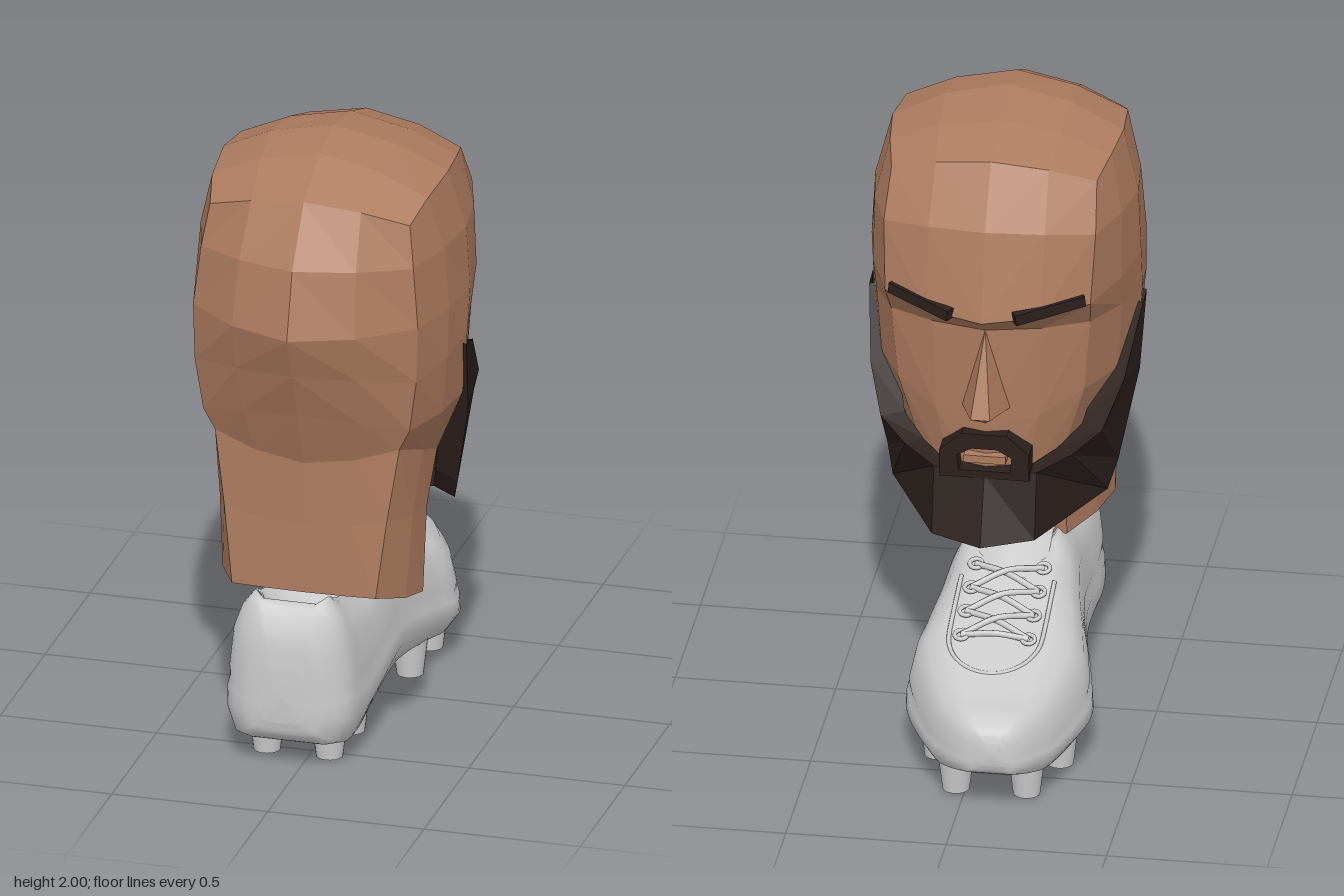
import * as THREE from 'three';

const mat = (color, flatShading) => new THREE.MeshStandardMaterial({ color, flatShading, side: THREE.DoubleSide });
const skin = mat(0xad7b5f, true);
const hair = mat(0x2b201d, true);
const grey = mat(0xcccccc, false);

// Grid surface through rows of [x, y, z] points, with mirrored diagonals
function sheet(rows) {
  const n = rows[0].length, index = [];
  for (let i = 0; i < rows.length - 1; i++) {
    for (let j = 0; j < n - 1; j++) {
      const a = i * n + j, b = a + n;
      if (j < (n - 1) / 2) index.push(a, b, a + 1, b, b + 1, a + 1);
      else index.push(a, b, b + 1, a, b + 1, a + 1);
    }
  }
  const g = new THREE.BufferGeometry();
  g.setAttribute('position', new THREE.Float32BufferAttribute(rows.flat(2), 3));
  g.setIndex(index);
  g.computeVertexNormals();
  return g;
}

function add(parent, name, geometry, material, x = 0, y = 0, z = 0) {
  const m = new THREE.Mesh(geometry, material);
  m.name = name;
  m.position.set(x, y, z);
  parent.add(m);
  return m;
}

const flip = ([x, y, z]) => [-x, y, z];
const mix = (a, b, t) => a.map((v, k) => v + (b[k] - v) * t);
const tube = (pts, r) => new THREE.TubeGeometry(
  new THREE.CatmullRomCurve3(pts.map((p) => new THREE.Vector3(...p))), 48, r, 8);

// Stations from the front of the neck up the face, over the crown and down the nape:
// centre y, z, then edge x, y, z
const stations = [
  [.54, .12, .2, .53, .13], [.76, .1, .2, .76, .1], [.8, -.2, .19, .82, -.09],
  [1.05, -.22, .29, 1.15, -.1], [1.39, -.22, .31, 1.39, -.11], [1.45, -.3, .32, 1.48, -.17],
  [1.73, -.23, .33, 1.7, -.13], [1.91, -.1, .32, 1.84, -.04], [1.97, .07, .345, 1.87, .09],
  [2, .26, .36, 1.88, .24], [1.97, .42, .345, 1.86, .42], [1.88, .6, .32, 1.81, .53],
  [1.7, .73, .34, 1.68, .56], [1.49, .79, .36, 1.49, .58], [1.35, .735, .355, 1.31, .58],
  [1.2, .675, .33, 1.14, .57], [1.01, .605, .295, 1.07, .56], [.8, .605, .26, .83, .58],
  [.58, .61, .23, .58, .6],
];

function buildHead() {
  const head = new THREE.Group();
  head.name = 'head';
  const edges = stations.map((s) => s.slice(2));
  const rows = stations.map(([cy, cz], i) => {
    const c = [0, cy, cz], e = edges[i];
    const m = mix(c, e, .36);
    m[0] = e[0] * .55;
    return [flip(e), flip(m), c, m, e];
  });
  add(head, 'faceCrownAndNape', sheet(rows), skin);

  // Temples, cheeks and sides of the neck bulge between the strip's two edges
  const bulge = [.1, .09, .08, .095, .087, .08, .075];
  const rim = [];
  for (const s of [1, -1]) {
    const side = bulge.map((b, i) => [0, 1, 2, 3, 4].map((j) => {
      const p = mix(edges[i], edges[18 - i], j / 4), k = Math.sin(Math.PI * j / 4);
      if (i === 0) p[1] += k * (s > 0 ? -.035 : .02);
      return [s * (p[0] + b * k), p[1], p[2]];
    }));
    side.push(edges.slice(7, 12).map(([x, y, z]) => [s * x, y, z]));
    add(head, s > 0 ? 'leftSide' : 'rightSide', sheet(side), skin);
    rim.push(...(s > 0 ? side[0] : [...side[0]].reverse()));
  }
  rim.push(rim[0]);
  add(head, 'neckBase', sheet([rim, rim.map(() => [0, .56, .35])]), skin);

  // Wedge nose
  const wing = [.075, 1.12, -.2], tip = [.03, 1.13, -.325];
  add(head, 'nose', sheet([
    Array(4).fill([0, 1.39, -.22]),
    [wing, tip, flip(tip), flip(wing)],
    Array(4).fill([0, 1.07, -.22]),
  ]), skin);
  add(head, 'lips', new THREE.BoxGeometry(.13, .025, .04), skin, 0, .95, -.215);

  // Eyebrows set into the brow ridge
  for (const s of [1, -1]) {
    const brow = add(head, 'eyebrow', new THREE.BoxGeometry(.23, .035, .03), hair, s * .2, 1.482, -.229);
    brow.rotation.set(0, -s * .5, s * .13, 'YXZ');
  }
  return head;
}

function buildBeard() {
  const beard = new THREE.Group();
  beard.name = 'beard';
  // Half bands from sideburn to chin: inner face, upper edge, jaw edge, underside
  const upper = [[.427, 1.31, .2], [.395, 1.13, .02], [.345, 1.01, -.1], [.26, .95, -.16],
    [.16, .91, -.22], [0, .9, -.24]];
  const jaw = [[.427, 1.32, .27], [.415, 1.08, .21], [.36, .8, .135], [.335, .72, .08],
    [.16, .7, -.265], [0, .69, -.325]];
  const inner = upper.map(([x, y, z]) => [x * .8, y, z + .04]);
  const under = jaw.map(([x, y, z], i) => [x * .8, y + .03, i < 4 ? z : .08]);
  add(beard, 'beardBand', sheet([inner, upper, jaw, under]
    .map((h) => [...h, ...h.slice(0, -1).map(flip).reverse()])), hair);

  // Moustache framing the mouth
  const outline = (half) => [...half, ...half.map(([x, y]) => [-x, y]).reverse()]
    .map(([x, y]) => new THREE.Vector2(x, y));
  const shape = new THREE.Shape(outline([[.14, .89], [.14, .98], [.07, 1.04]]));
  shape.holes.push(new THREE.Path(outline([[.08, .915], [.085, .965], [.04, .99]])));
  add(beard, 'moustache', new THREE.ExtrudeGeometry(shape, { depth: .07, bevelEnabled: false }), hair, 0, 0, -.243);
  return beard;
}

// Height of the instep, where the laces lie
const instep = (z) => .53 + .32 * z;

function buildShoe() {
  const shoe = new THREE.Group();
  shoe.name = 'shoe';
  // Sections from heel to toe: z, bottom, top, centre x, half width, collar dip
  const sections = [
    [.685, .17, .34, -.045, .07, 0], [.665, .115, .46, -.045, .14, 0], [.6, .075, .56, -.045, .2, .04],
    [.48, .07, .52, -.045, .212, .2], [.32, .095, .5, -.045, .212, .22], [.1, .125, .555, -.05, .22, .12],
    [-.05, .12, .51, -.055, .24, 0], [-.2, .1, .46, -.06, .27, 0], [-.36, .08, .41, -.062, .288, 0],
    [-.6, .095, .34, -.08, .212, 0], [-.71, .12, .32, -.09, .15, 0], [-.77, .145, .29, -.1, .09, 0],
    [-.79, .18, .25, -.11, .04, 0],
  ];
  const curve = (o) => new THREE.CatmullRomCurve3(
    sections.map((s) => new THREE.Vector3(...s.slice(o, o + 3))), false, 'catmullrom', .5);
  const heights = curve(0), widths = curve(3);
  const rows = [];
  for (let i = 0; i <= 64; i++) {
    const { x: z, y: bottom, z: top } = heights.getPoint(i / 64);
    const { x: cx, y: w, z: sag } = widths.getPoint(i / 64);
    const dip = Math.max(0, sag);
    // Half outline: flat sole, midsole groove, rounded shoulder, sunken opening
    const half = [[0, 0], [.6, 0], [.86, .03], [1, .2], [.99, .34], [.95, .4], [.96, .48],
      [.89, .74], [.76, .89], [.56, 1], [.42, 1 - dip], [0, 1 - dip]];
    const loop = [...half, ...half.slice(0, -1).reverse().map(([u, v]) => [-u, v])];
    rows.push(loop.map(([u, v]) => [cx + u * w, bottom + (top - bottom) * v, z]));
  }
  // Close heel and toe
  rows.unshift(rows[0].map(() => [-.045, .25, .688]));
  rows.push(rows[0].map(() => [-.11, .215, -.793]));
  add(shoe, 'upperAndSole', sheet(rows), grey);

  // Pairs of tapered studs
  const stud = new THREE.CylinderGeometry(.056, .042, .12, 20);
  for (const [z, right, left] of [[.52, -.14, .06], [.31, -.14, .07], [-.17, -.25, .12],
    [-.39, -.26, .12], [-.61, -.19, .03]]) {
    add(shoe, 'stud', stud, grey, right, .065, z);
    add(shoe, 'stud', stud, grey, left, .065, z);
  }

  // Tongue flaring up out of the collar
  const cx = -.055;
  const tongue = [[.13, .6], [.09, .612], [.03, .59], [-.03, .55], [-.12, .505]]
    .map(([z, y]) => [-1, -.5, 0, .5, 1].map((u) => [cx + u * .11, y - u * u * .05, z]));
  add(shoe, 'tongue', sheet(tongue), grey);

  // Raised edge round the lacing
  const edge = [];
  for (let i = 0; i <= 16; i++) {
    const t = Math.PI * i / 16, z = -.36 - .16 * Math.sin(t);
    edge.push([cx + .145 * Math.cos(t), instep(z) - .004, z]);
  }
  const ends = [.145, -.145].map((x) => [cx + x, instep(-.12) - .004, -.12]);
  add(shoe, 'lacingEdge', tube([ends[0], ...edge, ends[1]], .007), grey);

  // Eyelets and crossed laces
  const eyelet = new THREE.TorusGeometry(.02, .007, 8, 16);
  const lace = (s, z, rise, run) => add(shoe, 'lace', tube([[cx + s * .105, instep(z) + .008, z],
    [cx, instep(z + run / 2) + rise, z + run / 2], [cx - s * .105, instep(z + run) + .008, z + run]], .01), grey);
  for (let i = 0; i < 4; i++) {
    const z = -.38 + i * .1;
    for (const s of [1, -1]) {
      add(shoe, 'eyelet', eyelet, grey, cx + s * .105, instep(z) + .008, z).rotation.x = -Math.PI / 2 - .31;
      if (i < 3) lace(s, z, .028 + s * .005, .1);
    }
  }
  lace(1, -.38, .02, 0);
  return shoe;
}

export function createModel() {
  const model = new THREE.Group();
  model.name = 'headOnShoe';
  model.add(buildHead(), buildBeard(), buildShoe());
  return model;
}
